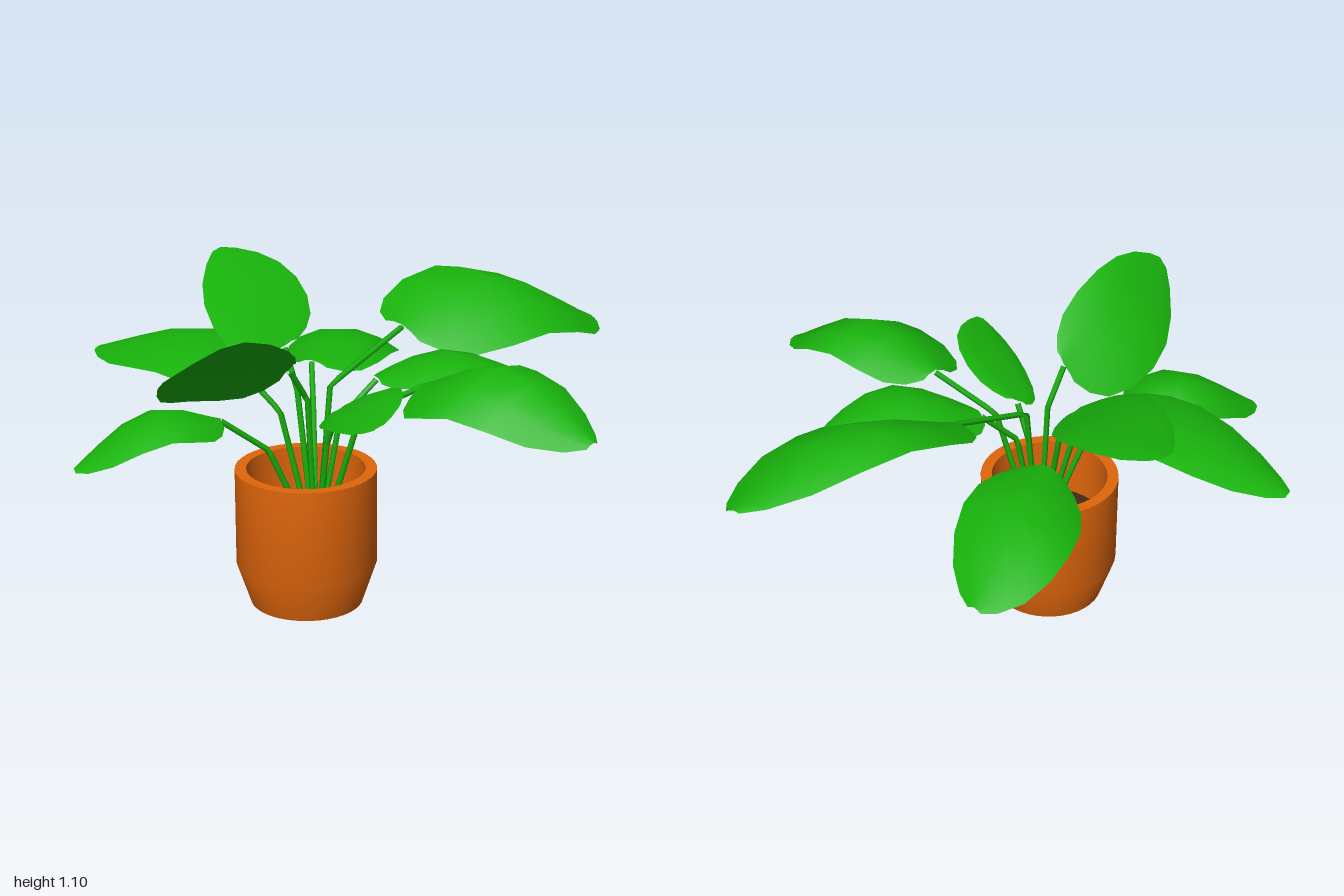
import * as THREE from 'three';
import { toCreasedNormals } from 'three/addons/utils/BufferGeometryUtils.js';

const GREEN = 0x18b20c, CLAY = 0xe0660c, EARTH = 0x432814;
const POT_X = -0.065, POT_Z = 0.223, SOIL_Y = 0.29;

// Each leaf: base, middle and tip of the midrib, its widest left and right edge points,
// and how far out along its stem the bend sits
const LEAVES = [
  { name: 'backLeaf', base: [0.0, 0.93, -0.23], mid: [0.13, 1.05, -0.6], tip: [0.3, 0.85, -0.99], left: [-0.12, 1.05, -0.6], right: [0.4, 0.89, -0.6], bend: 0.17 },
  { name: 'backRightLeaf', base: [-0.28, 0.78, -0.06], mid: [-0.38, 0.81, -0.36], tip: [-0.48, 0.66, -0.7], left: [-0.61, 0.73, -0.38], right: [-0.17, 0.75, -0.39], bend: 0.5 },
  { name: 'raisedRightLeaf', base: [-0.24, 0.89, 0.13], mid: [-0.48, 1.01, 0.03], tip: [-0.81, 1.09, -0.13], left: [-0.45, 0.96, 0.28], right: [-0.49, 1.03, -0.21], bend: 0.6 },
  { name: 'rightLeaf', base: [-0.26, 0.84, 0.32], mid: [-0.6, 0.89, 0.3], tip: [-1.0, 0.78, 0.32], left: [-0.52, 0.83, 0.51], right: [-0.62, 0.87, 0.09], bend: 0.5 },
  { name: 'frontRightLeaf', base: [-0.2, 0.73, 0.51], mid: [-0.32, 0.78, 0.69], tip: [-0.46, 0.61, 0.95], left: [-0.17, 0.72, 0.78], right: [-0.47, 0.7, 0.63], bend: 0.5 },
  { name: 'frontLeaf', base: [-0.03, 0.9, 0.34], mid: [-0.05, 1.0, 0.65], tip: [0.01, 1.02, 0.99], left: [0.08, 1.1, 0.69], right: [-0.22, 0.82, 0.64], bend: 0.3 },
  { name: 'frontLeftLeaf', base: [0.09, 0.75, 0.23], mid: [0.27, 0.82, 0.33], tip: [0.47, 0.84, 0.48], left: [0.35, 0.88, 0.21], right: [0.2, 0.75, 0.41], bend: 0.5 },
  { name: 'leftLeaf', base: [0.34, 0.86, 0.07], mid: [0.64, 0.97, 0.05], tip: [0.99, 0.78, 0.02], left: [0.66, 0.91, -0.15], right: [0.6, 0.84, 0.27], bend: 0.42 },
  { name: 'backLeftLeaf', base: [0.08, 0.81, 0.01], mid: [0.27, 0.89, -0.18], tip: [0.45, 0.79, -0.41], left: [0.13, 0.84, -0.27], right: [0.41, 0.85, -0.1], bend: 0.4 },
];

// Half width of a leaf along its length, as [position, share of full width]
const OUTLINE = [[0, 0.3], [0.05, 0.58], [0.14, 0.82], [0.29, 0.97], [0.48, 1], [0.66, 0.9], [0.82, 0.67], [0.94, 0.36], [1, 0.12]];
const COLUMNS = [-1, -0.55, 0, 0.55, 1];

const vec = (p) => new THREE.Vector3(...p);

function mesh(name, geometry, color, side = THREE.FrontSide) {
  const m = new THREE.Mesh(geometry, new THREE.MeshStandardMaterial({ color, side }));
  m.name = name;
  return m;
}

// Curved blade: cross-sections folded along the midrib
function leafGeometry({ base, mid, tip, left, right }) {
  const rib = new THREE.CatmullRomCurve3([base, mid, tip].map(vec));
  const toLeft = vec(left).sub(vec(mid)), toRight = vec(right).sub(vec(mid));
  const positions = [], index = [], n = COLUMNS.length;
  OUTLINE.forEach(([u, w], i) => {
    const centre = rib.getPoint(u);
    COLUMNS.forEach((v, j) => {
      const p = centre.clone().addScaledVector(v < 0 ? toLeft : toRight, Math.abs(v) * w);
      p.y += 0.06 * w * Math.abs(v) * (1 - Math.abs(v));
      positions.push(p.x, p.y, p.z);
      if (i && j) {
        const d = i * n + j, c = d - 1, b = d - n, a = b - 1;
        index.push(a, b, c, b, d, c);
      }
    });
  });
  const g = new THREE.BufferGeometry();
  g.setAttribute('position', new THREE.Float32BufferAttribute(positions, 3));
  g.setIndex(index);
  g.computeVertexNormals();
  return g;
}

// Stem: up from the soil to the bend, then out to just under the leaf
function stemGeometry({ base, bend }) {
  const end = vec(base);
  end.y -= 0.01;
  const centre = new THREE.Vector3(-0.03, SOIL_Y - 0.01, 0.21);
  const knee = centre.clone().lerp(end, bend).setY(end.y - 0.13);
  const root = centre.clone().lerp(knee, 0.2).setY(centre.y);
  const path = new THREE.CurvePath();
  path.add(new THREE.LineCurve3(root, knee));
  path.add(new THREE.LineCurve3(knee, end));
  return new THREE.TubeGeometry(path, 16, 0.011, 5);
}

export function createModel() {
  const model = new THREE.Group();
  model.name = 'pottedPlant';

  // Pot with tapered foot and open rim
  const profile = [[0, 0], [0.2, 0], [0.25, 0.15], [0.25, 0.5], [0.21, 0.5], [0.21, 0.27]]
    .map(([r, y]) => new THREE.Vector2(r, y));
  const pot = mesh('pot', toCreasedNormals(new THREE.LatheGeometry(profile, 40), 0.6), CLAY);
  pot.position.set(POT_X, 0, POT_Z);
  model.add(pot);

  // Soil
  const soil = mesh('soil', new THREE.CircleGeometry(0.212, 40).rotateX(-Math.PI / 2), EARTH);
  soil.position.set(POT_X, SOIL_Y, POT_Z);
  model.add(soil);

  // Leaves on their stems
  for (const leaf of LEAVES) {
    const group = new THREE.Group();
    group.name = leaf.name;
    group.add(mesh('blade', leafGeometry(leaf), GREEN, THREE.DoubleSide));
    group.add(mesh('stem', stemGeometry(leaf), GREEN));
    model.add(group);
  }
  return model;
}
